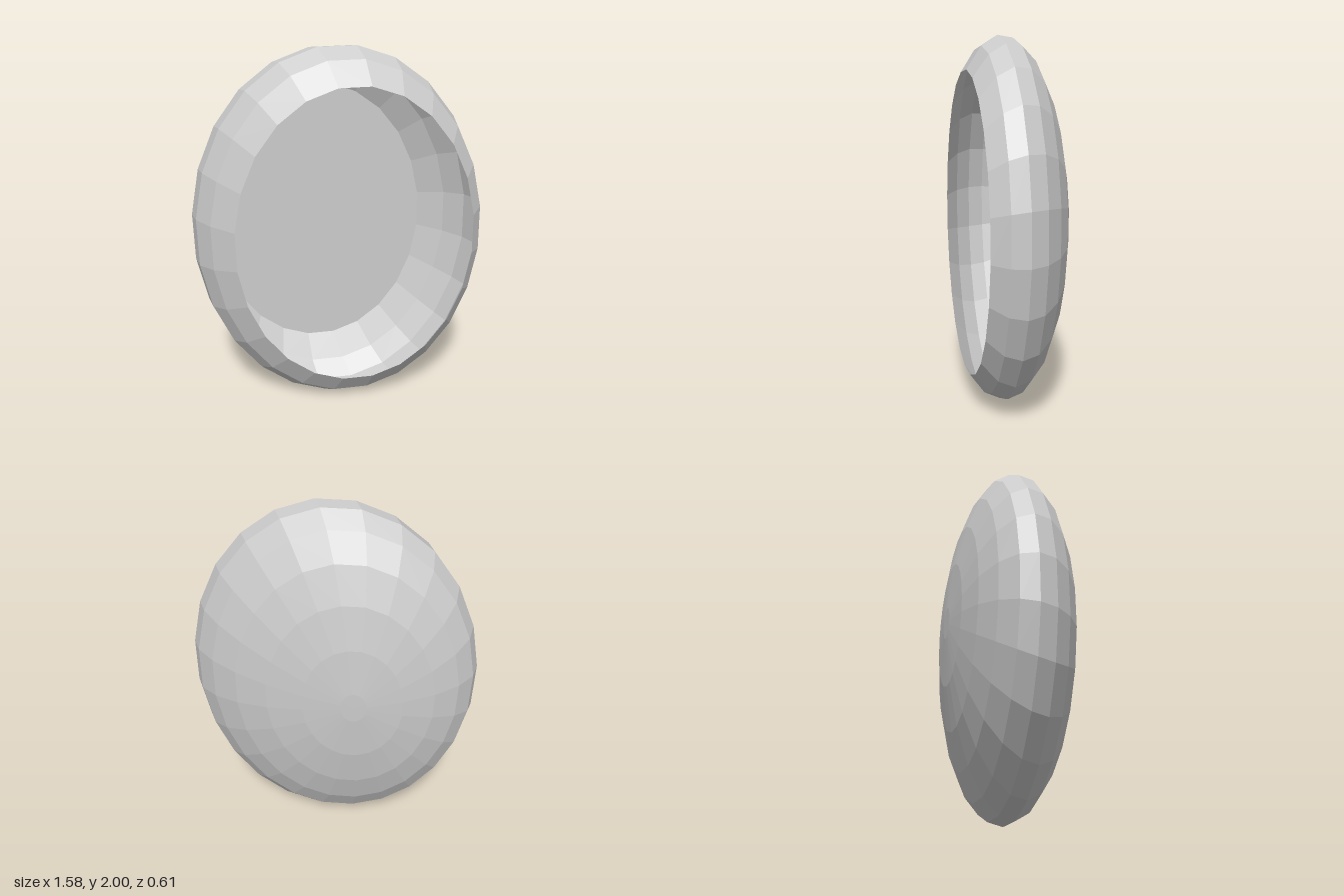
import * as THREE from 'three';

const SIDES = 24;
const RAD = Math.PI / 180;

// Maps a unit sphere (axis z) to a flattened, slightly sheared oval bowl.
const SHAPE = new THREE.Matrix4().set(
  0.783, 0, 0.129, -0.003,
  0, 1.008, -0.012, 1.0,
  0, 0, 0.359, 0.0414,
  0, 0, 0, 1);

// Revolves the given points around z, then applies the oval shape.
function ovalLathe(points) {
  const geometry = new THREE.LatheGeometry(points, SIDES, 8.8 * RAD);
  geometry.rotateX(Math.PI / 2);
  geometry.applyMatrix4(SHAPE);
  return geometry;
}

const ringPoint = (deg) => new THREE.Vector2(Math.sin(deg * RAD), -Math.cos(deg * RAD));

export function createModel() {
  const group = new THREE.Group();
  group.name = 'ovalDish';
  const material = new THREE.MeshStandardMaterial({
    color: 0xcccccc, flatShading: true, side: THREE.DoubleSide,
  });

  // Thin rounded shell, from the small flat cap at the back to the open rim
  const profile = [new THREE.Vector2(0, ringPoint(5).y)];
  for (let deg = 5; deg <= 125; deg += 15) profile.push(ringPoint(deg));
  const shell = new THREE.Mesh(ovalLathe(profile), material);
  shell.name = 'shell';

  // Flat floor recessed inside the shell
  const edge = ringPoint(50);
  const floor = new THREE.Mesh(ovalLathe([new THREE.Vector2(0, edge.y), edge]), material);
  floor.name = 'floor';

  group.add(shell, floor);
  // The opening turns slightly to its left
  group.rotation.y = 0.0935;
  return group;
}
